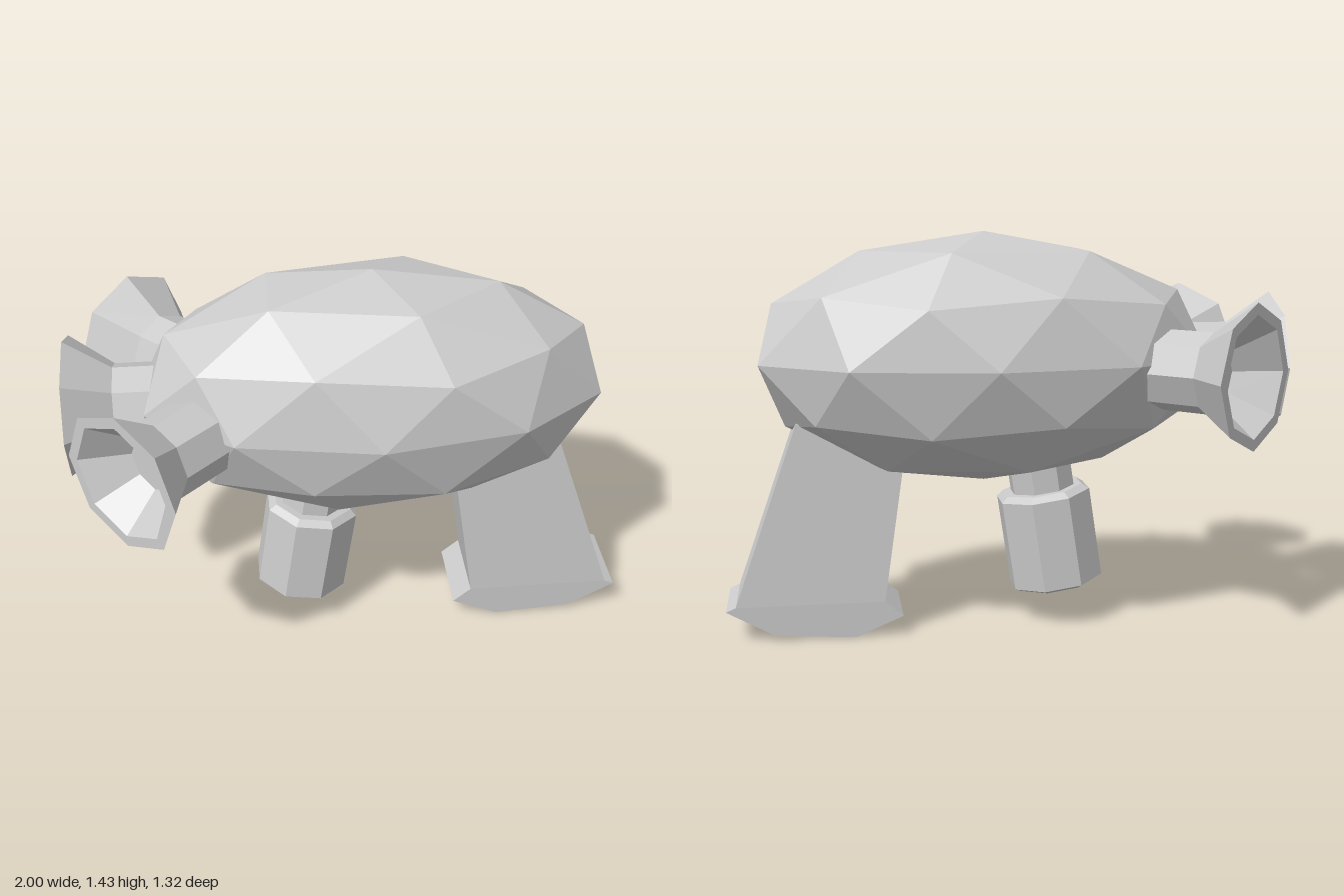
import * as THREE from 'three';

const material = new THREE.MeshStandardMaterial({ color: 0xcccccc, flatShading: true });

function part(name, geometry, parent) {
  const mesh = new THREE.Mesh(geometry, material);
  mesh.name = name;
  parent.add(mesh);
  return mesh;
}

// Eight-sided turned solid from a [radius, height] profile, bottom to top
function turned(profile) {
  return new THREE.LatheGeometry(profile.map(([r, y]) => new THREE.Vector2(r, y)), 8);
}

// Side profile given depth along z, with a half depth that depends on height
function prism(points, halfDepth) {
  const shape = new THREE.Shape(points.map(([x, y]) => new THREE.Vector2(x, y)));
  const geometry = new THREE.ExtrudeGeometry(shape, { depth: 1, bevelEnabled: false });
  const pos = geometry.attributes.position;
  for (let i = 0; i < pos.count; i++) {
    pos.setZ(i, (pos.getZ(i) > 0.5 ? 1 : -1) * halfDepth(pos.getY(i)));
  }
  geometry.computeVertexNormals();
  return geometry;
}

export function createModel() {
  const model = new THREE.Group();
  model.name = 'blaster';

  // Faceted egg-shaped body, one corner of the icosahedron pointing up
  const bodyGeometry = new THREE.IcosahedronGeometry(1, 1);
  bodyGeometry.rotateZ(-Math.atan2(2, 1 + Math.sqrt(5)));
  bodyGeometry.scale(0.839, 0.45, 0.45);
  part('body', bodyGeometry, model).position.set(0.06, 0.985, -0.01);

  // Three flared muzzles: a tube opening into a hollow funnel, mouth at the origin
  const muzzleGeometry = turned([
    [0, -0.4], [0.143, -0.4], [0.143, -0.16], [0.253, 0],
    [0.212, 0], [0.1, -0.14], [0, -0.14],
  ]);
  muzzleGeometry.rotateZ(Math.PI / 2);
  const muzzles = [
    ['centreMuzzle', -1, -0.012, 0],
    ['leftMuzzle', -0.8, 0.482, Math.PI / 4],
    ['rightMuzzle', -0.8, -0.482, -Math.PI / 4],
  ];
  for (const [name, x, z, turn] of muzzles) {
    const muzzle = part(name, muzzleGeometry, model);
    muzzle.position.set(x, 0.957, z);
    muzzle.rotation.y = turn;
  }

  // Tilted canister with a narrow neck under the body
  const canisterGeometry = turned([
    [0, -0.178], [0.15, -0.178], [0.176, -0.165], [0.176, 0.165],
    [0.15, 0.185], [0.12, 0.185], [0.12, 0.4], [0, 0.4],
  ]);
  canisterGeometry.rotateY(Math.PI / 8);
  const canister = part('canister', canisterGeometry, model);
  canister.position.set(-0.185, 0.315, -0.006);
  canister.rotation.z = -0.15;

  // Handle: tapered grip on a flared foot
  const handle = new THREE.Group();
  handle.name = 'handle';
  handle.position.z = -0.009;
  model.add(handle);
  part('grip', prism(
    [[0.435, 0.13], [0.96, 0.13], [0.735, 0.775], [0.34, 0.775]],
    (y) => 0.152 - (y - 0.13) * 0.05,
  ), handle);
  part('foot', prism(
    [[0.435, 0.13], [0.37, 0.075], [0.54, 0.003], [0.825, 0.022], [0.995, 0.115], [0.96, 0.13]],
    () => 0.152,
  ), handle);

  return model;
}
